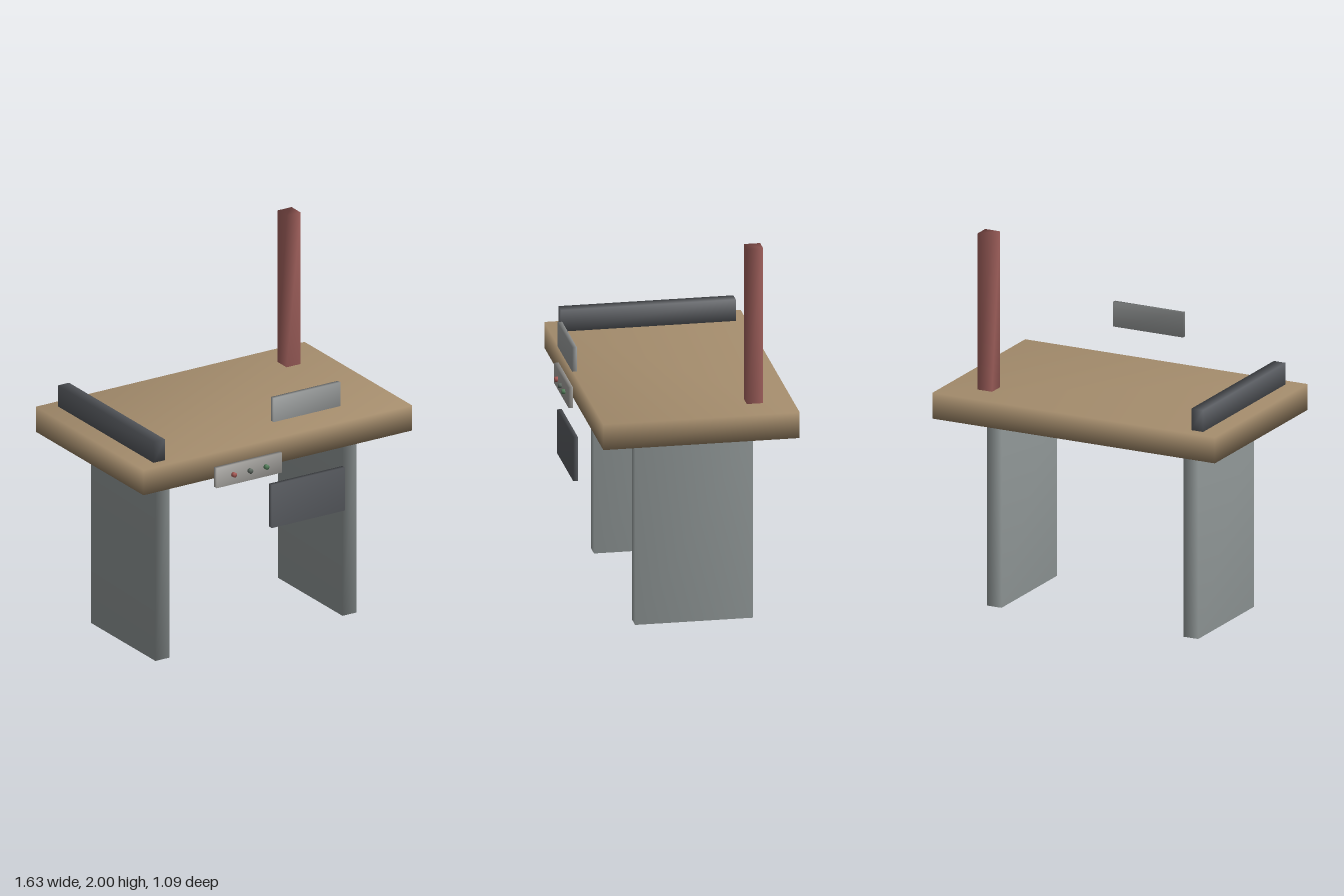
import * as THREE from 'three';
import { mergeVertices } from 'three/addons/utils/BufferGeometryUtils.js';

const COLORS = {
  wood: 0xa58d6d, steel: 0x8f9696, dark: 0x585b60, red: 0xa0605c,
  plate: 0x9a9d9d, panel: 0xa3a19d,
};

// Share the corners so the normals blend across the edges
function soften(geometry) {
  geometry.deleteAttribute('normal');
  geometry.deleteAttribute('uv');
  const merged = mergeVertices(geometry);
  merged.computeVertexNormals();
  return merged;
}

// Box given by its [min, max] extents on each axis
function block(name, x, y, z, color) {
  const geometry = soften(new THREE.BoxGeometry(x[1] - x[0], y[1] - y[0], z[1] - z[0]));
  const mesh = new THREE.Mesh(geometry, new THREE.MeshStandardMaterial({ color }));
  mesh.name = name;
  mesh.position.set((x[0] + x[1]) / 2, (y[0] + y[1]) / 2, (z[0] + z[1]) / 2);
  return mesh;
}

export function createModel() {
  const model = new THREE.Group();
  model.name = 'workTable';

  // Table top and the two slab legs
  model.add(block('tableTop', [-0.813, 0.813], [1.027, 1.165], [-0.545, 0.474], COLORS.wood));
  for (const [name, x] of [['rightLeg', -0.568], ['leftLeg', 0.564]]) {
    model.add(block(name, [x - 0.042, x + 0.042], [0, 1.012], [-0.341, 0.27], COLORS.steel));
  }

  // Guide rail and upright post standing on the top
  model.add(block('guideRail', [-0.716, -0.648], [1.165, 1.28], [-0.489, 0.418], COLORS.dark));
  model.add(block('post', [0.551, 0.635], [1.165, 2], [-0.389, -0.304], COLORS.red));

  // Thin plates floating in front of the table
  model.add(block('upperPlate', [-0.071, 0.333], [1.291, 1.422], [0.521, 0.545], COLORS.plate));
  model.add(block('lowerPlate', [-0.082, 0.36], [0.71, 0.947], [0.521, 0.545], COLORS.dark));

  // Control panel with its row of round buttons
  model.add(block('controlPanel', [-0.388, 0.008], [0.982, 1.091], [0.479, 0.503], COLORS.panel));
  [0xa85a56, 0x5f6a62, 0x55805c].forEach((color, i) => {
    const geometry = soften(new THREE.CylinderGeometry(0.013, 0.013, 0.018, 16).rotateX(Math.PI / 2));
    const button = new THREE.Mesh(geometry, new THREE.MeshStandardMaterial({ color }));
    button.name = `button${i + 1}`;
    button.position.set(-0.288 + i * 0.098, 1.037, 0.51);
    model.add(button);
  });

  return model;
}
